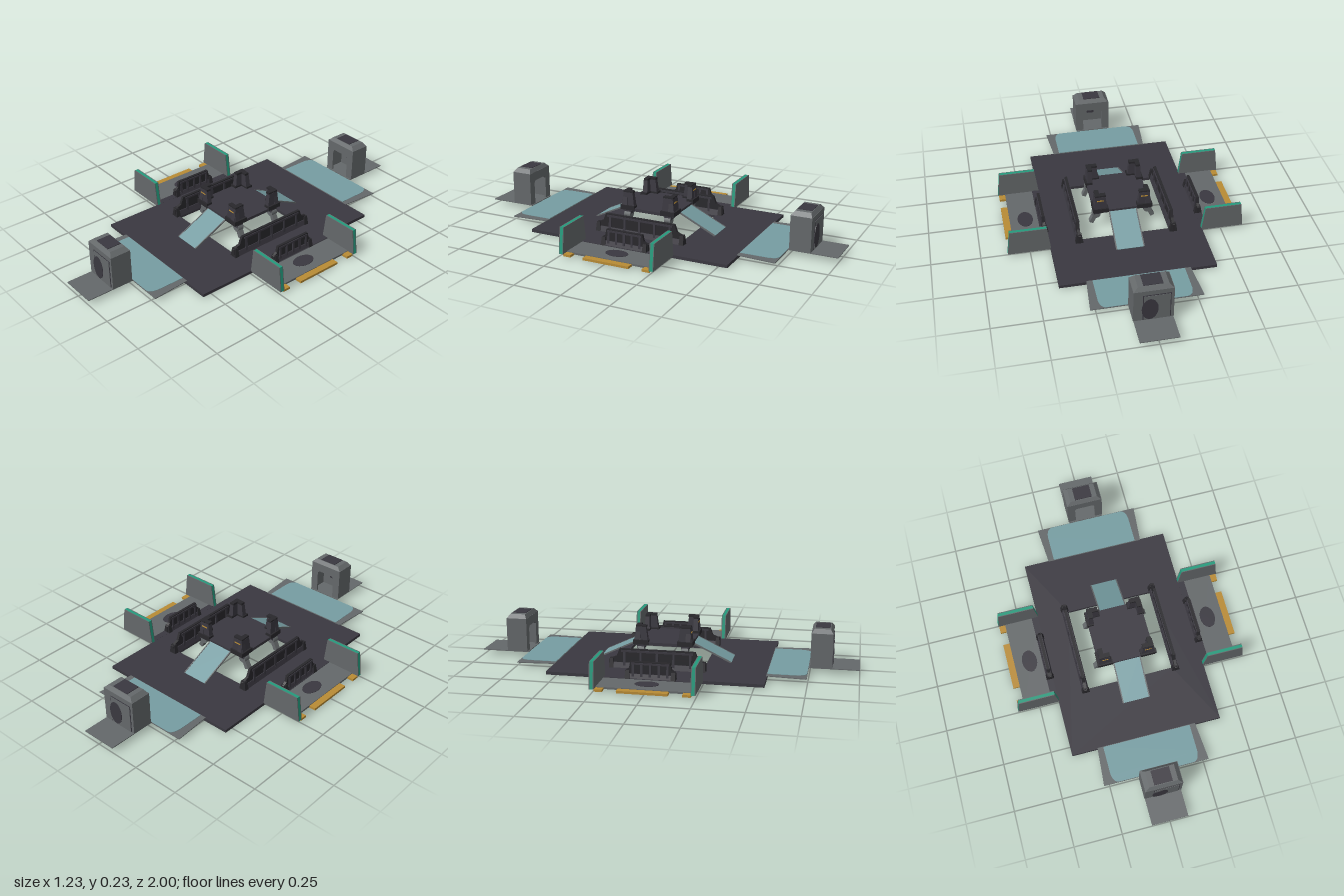
import * as THREE from 'three';

const mat = (name, color, side = THREE.FrontSide) => {
  const m = new THREE.MeshStandardMaterial({ color, side });
  m.name = name;
  return m;
};

export function createModel() {
  const root = new THREE.Group();
  root.name = 'platformStation';
  const dark = mat('charcoal', 0x3a3840);
  const black = mat('black metal', 0x29282c);
  const grey = mat('grey metal', 0x64686a);
  const teal = mat('pale teal', 0x769da2, THREE.DoubleSide);
  const gold = mat('gold', 0xb88b34);
  const green = mat('green trim', 0x249a7c);

  const add = (parent, name, geo, material, x = 0, y = 0, z = 0) => {
    const m = new THREE.Mesh(geo, material);
    m.name = name;
    m.position.set(x, y, z);
    parent.add(m);
    return m;
  };
  // Box given by its extents
  const box = (parent, name, material, x0, x1, y0, y1, z0, z1) =>
    add(parent, name, new THREE.BoxGeometry(x1 - x0, y1 - y0, z1 - z0), material,
      (x0 + x1) / 2, (y0 + y1) / 2, (z0 + z1) / 2);
  // Box standing on y = 0 whose top is scaled by (tx, tz)
  const frustum = (w, h, d, tx, tz) => {
    const g = new THREE.BoxGeometry(w, h, d).translate(0, h / 2, 0);
    const p = g.attributes.position;
    for (let i = 0; i < p.count; i++)
      if (p.getY(i) > h / 2) p.setXYZ(i, p.getX(i) * tx, p.getY(i), p.getZ(i) * tz);
    g.computeVertexNormals();
    return g;
  };
  const poly = pts => new THREE.Shape(pts.map(([x, y]) => new THREE.Vector2(x, y)));
  const rectHole = (s, x0, x1, y0, y1) =>
    s.holes.push(new THREE.Path([[x0, y0], [x0, y1], [x1, y1], [x1, y0]].map(a => new THREE.Vector2(...a))));
  const extrude = (shape, depth) =>
    new THREE.ExtrudeGeometry(shape, { depth, bevelEnabled: false, curveSegments: 8 });
  // Flat slab: shape coordinates become x and z
  const slab = (shape, depth) => extrude(shape, depth).rotateX(-Math.PI / 2);

  // Main deck with its square opening
  const deck = poly([[-0.397, -0.55], [0.397, -0.55], [0.397, 0.55], [-0.397, 0.55]]);
  rectHole(deck, -0.23, 0.23, -0.222, 0.228);
  add(root, 'mainDeck', slab(deck, 0.016), dark, 0, 0.005, 0);

  // Long barrier: tapered panel, foot, end posts and ribs
  const barrier = (parent, name, x, half, top) => {
    const g = new THREE.Group();
    g.name = name;
    g.position.set(x, 0.018, 0);
    const h = top - 0.018;
    const panel = poly([[-half, 0], [half, 0], [half, h * 0.45], [half * 0.84, h * 0.62],
      [half * 0.78, h], [-half * 0.78, h], [-half * 0.84, h * 0.62], [-half, h * 0.45]]);
    add(g, 'barrierPanel', extrude(panel, 0.014).translate(0, 0, -0.007).rotateY(Math.PI / 2), black);
    add(g, 'barrierFoot', frustum(0.036, h * 0.3, half * 1.86, 0.6, 0.98), dark);
    box(g, 'barrierRail', dark, -0.011, 0.011, h * 0.84, h * 0.94, -half * 0.74, half * 0.74);
    for (const s of [-1, 1]) add(g, 'barrierEndPost', frustum(0.042, h * 0.5, 0.025, 0.6, 0.7), black, 0, 0, s * (half - 0.013));
    for (let i = -2; i <= 2; i++)
      add(g, 'barrierRib', frustum(0.03, h * 0.9, 0.012, 0.7, 1), dark, 0, 0, i * half * 0.34);
    parent.add(g);
  };

  // Raised central platform
  const centre = new THREE.Group();
  centre.name = 'centrePlatform';
  root.add(centre);
  box(centre, 'platformTop', dark, -0.15, 0.15, 0.114, 0.13, -0.15, 0.15);
  for (const sx of [-1, 1]) for (const sz of [-1, 1]) {
    const post = new THREE.Group();
    post.name = 'cornerPost';
    post.position.set(sx * 0.115, 0, sz * 0.115);
    // L-shaped base and tapering body
    box(post, 'postBaseX', black, -0.04, 0.04, 0.118, 0.142, sz * 0.022 - 0.018, sz * 0.022 + 0.018);
    box(post, 'postBaseZ', black, sx * 0.022 - 0.018, sx * 0.022 + 0.018, 0.118, 0.142, -0.04, 0.04);
    add(post, 'postBodyX', frustum(0.07, 0.07, 0.028, 0.74, 0.8), dark, 0, 0.14, sz * 0.017);
    add(post, 'postBodyZ', frustum(0.028, 0.07, 0.07, 0.8, 0.74), dark, sx * 0.017, 0.14, 0);
    box(post, 'postCapX', black, -0.028, 0.028, 0.207, 0.218, sz * 0.015 - 0.012, sz * 0.015 + 0.012);
    box(post, 'postCapZ', black, sx * 0.015 - 0.012, sx * 0.015 + 0.012, 0.207, 0.218, -0.028, 0.028);
    box(post, 'postLight', gold, -0.018, 0.018, 0.184, 0.19, sz * 0.028 - 0.003, sz * 0.028 + 0.003);
    // Folded support hanging beneath the corner
    const knuckle = add(post, 'supportKnuckle', new THREE.CylinderGeometry(0.022, 0.022, 0.035, 10), grey, sx * 0.02, 0.093, 0);
    knuckle.rotation.x = Math.PI / 2;
    const leg = add(post, 'supportLeg', new THREE.BoxGeometry(0.022, 0.06, 0.028), grey, sx * 0.035, 0.068, 0);
    leg.rotation.z = sx * 0.45;
    box(post, 'supportMount', dark, sx * 0.015 - 0.02, sx * 0.015 + 0.02, 0.098, 0.116, -0.02, 0.02);
    centre.add(post);
  }

  const door = x => poly([[-x, 0], [x, 0], [x, 0.18], [-x, 0.18]]);

  // Ends: inner ramp, apron, booth and landing, repeated by a half turn
  for (let k = 0; k < 2; k++) {
    const end = new THREE.Group();
    end.name = k ? 'backEnd' : 'frontEnd';
    end.rotation.y = k * Math.PI;
    root.add(end);

    const ramp = add(end, 'innerRamp', new THREE.BoxGeometry(0.136, 0.004, 0.222), teal, 0, 0.07, 0.246);
    ramp.rotation.x = Math.atan2(0.095, 0.2);
    for (const s of [-1, 1]) {
      const edge = add(end, 'rampEdge', new THREE.BoxGeometry(0.006, 0.007, 0.222), grey, s * 0.071, 0.07, 0.246);
      edge.rotation.x = ramp.rotation.x;
    }

    const apron = poly([[-0.262, -0.545], [-0.278, -0.745], [0.278, -0.745], [0.262, -0.545]]);
    add(end, 'apron', slab(apron, 0.004), grey, 0, 0.02, 0);
    const glass = new THREE.Shape();
    glass.moveTo(-0.232, -0.548);
    glass.lineTo(-0.232, -0.69);
    glass.quadraticCurveTo(-0.228, -0.742, -0.195, -0.743);
    glass.lineTo(0.195, -0.743);
    glass.quadraticCurveTo(0.228, -0.742, 0.232, -0.69);
    glass.lineTo(0.232, -0.548);
    add(end, 'apronInlay', slab(glass, 0.0075), teal, 0, 0.0185, 0);

    box(end, 'landing', grey, -0.095, 0.095, 0.025, 0.029, 0.745, 1.0);

    const booth = new THREE.Group();
    booth.name = 'booth';
    booth.position.y = 0.027;
    end.add(booth);
    for (const s of [-1, 1])
      box(booth, 'boothSide', grey, s * 0.09 - 0.007, s * 0.09 + 0.007, 0, 0.18, 0.752, 0.862);
    add(booth, 'boothOuterWall', extrude(door(0.09), 0.01), grey, 0, 0, 0.852);
    const inner = poly([[-0.09, 0], [-0.055, 0], [-0.055, 0.12], [-0.045, 0.132], [0.045, 0.132],
      [0.055, 0.12], [0.055, 0], [0.09, 0], [0.09, 0.18], [-0.09, 0.18]]);
    add(booth, 'boothDoorFrame', extrude(inner, 0.01), grey, 0, 0, 0.752);
    add(booth, 'boothRoof', frustum(0.194, 0.022, 0.11, 0.76, 0.74), grey, 0, 0.178, 0.807);
    box(booth, 'roofHatch', dark, -0.047, 0.047, 0.196, 0.203, 0.77, 0.844);
    box(booth, 'boothConsole', dark, -0.02, 0.02, 0.07, 0.105, 0.825, 0.852);
    // Framed panel and dark oval on the outer wall
    box(booth, 'outerPanelFrame', dark, -0.052, 0.082, 0.004, 0.155, 0.861, 0.8635);
    box(booth, 'outerPanel', grey, -0.048, 0.078, 0.004, 0.151, 0.862, 0.865);
    const oval = add(booth, 'outerOval', new THREE.CylinderGeometry(1, 1, 0.002, 20).rotateX(Math.PI / 2), dark, -0.018, 0.07, 0.866);
    oval.scale.set(0.04, 0.062, 1);
  }

  // Side bays and barriers, repeated by a half turn
  const trapezoid = poly([[0.393, 0], [0.614, 0], [0.599, 0.135], [0.41, 0.135]]);
  for (let k = 0; k < 2; k++) {
    const side = new THREE.Group();
    side.name = k ? 'rightSide' : 'leftSide';
    side.rotation.y = k * Math.PI;
    side.position.z = -0.008;
    root.add(side);
    barrier(side, 'innerBarrier', 0.246, 0.25, 0.12);
    barrier(side, 'outerBarrier', 0.41, 0.128, 0.105);

    box(side, 'bayFloor', grey, 0.39, 0.577, 0.009, 0.019, -0.238, 0.238);
    box(side, 'floorStep', dark, 0.397, 0.43, 0.012, 0.0215, -0.235, 0.235);
    const oval = add(side, 'floorOval', new THREE.CylinderGeometry(1, 1, 0.003, 20), dark, 0.495, 0.0195, 0);
    oval.scale.set(0.04, 1, 0.06);
    // Gold edge fittings
    box(side, 'edgeStrip', gold, 0.572, 0.612, 0.004, 0.016, -0.125, 0.125);
    for (const s of [-1, 1]) {
      box(side, 'edgeBlock', gold, 0.572, 0.61, 0.004, 0.016, s * 0.215 - 0.02, s * 0.215 + 0.02);
      box(side, 'underFoot', gold, 0.42, 0.45, 0, 0.01, s * 0.2 - 0.04, s * 0.2 + 0.04);
      // End wall: green core between grey faces
      const wall = new THREE.Group();
      wall.name = 'endWall';
      wall.position.set(0, 0.015, s * 0.246);
      add(wall, 'wallCore', extrude(trapezoid, 0.016), green, 0, 0, -0.008);
      for (const f of [-1, 1])
        add(wall, 'wallFace', extrude(trapezoid, 0.004), grey, 0, 0, f * 0.01 - 0.002);
      side.add(wall);
    }
  }
  return root;
}
